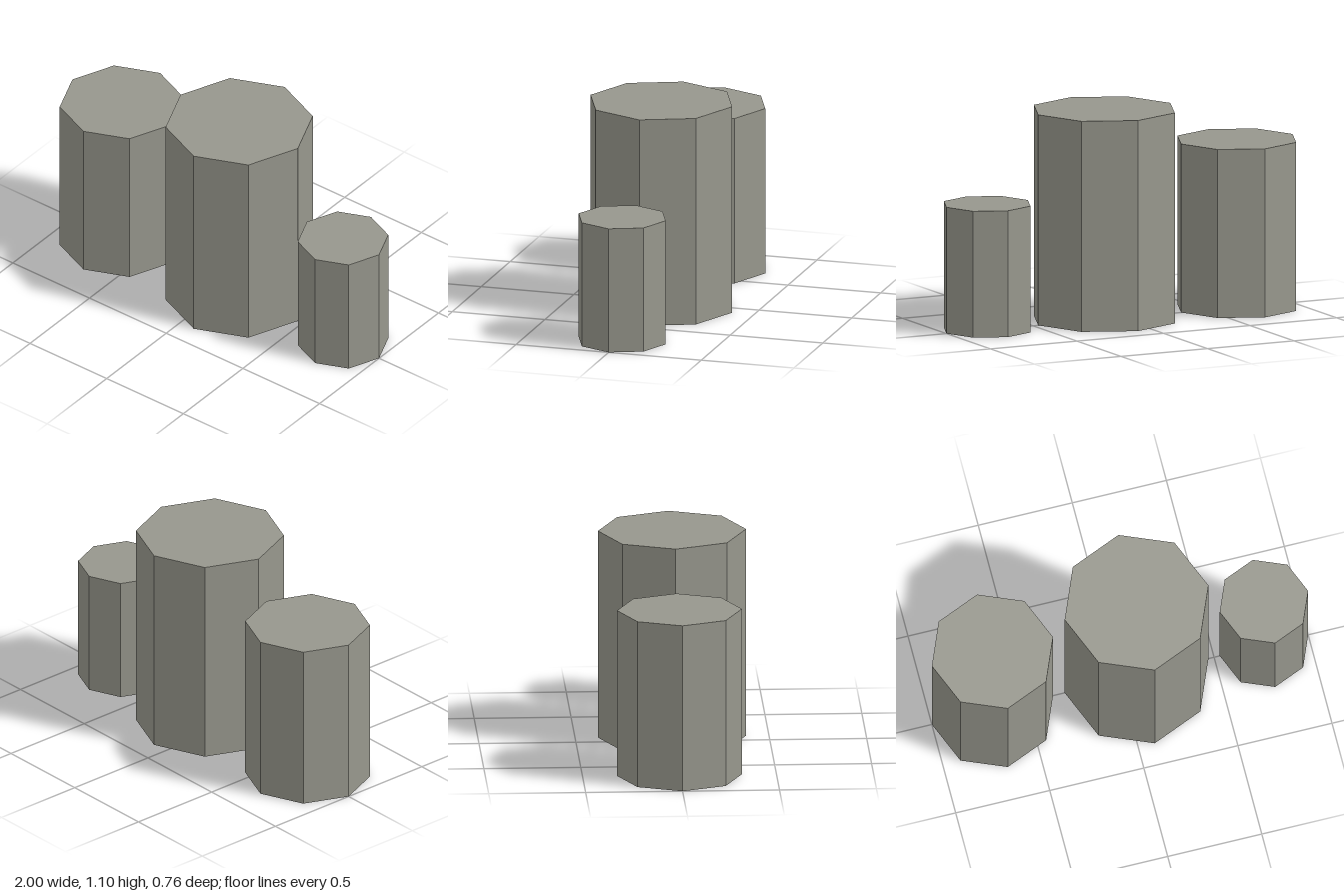
import * as THREE from 'three';

export function createModel() {
  const group = new THREE.Group();
  const material = new THREE.MeshStandardMaterial({ color: 0x97978d, flatShading: true });

  // Row of upright octagonal columns, corners on the x and z axes
  const columns = [
    { name: 'rightColumn', x: -0.678, radius: 0.322, height: 0.882 },
    { name: 'middleColumn', x: 0.088, radius: 0.382, height: 1.102 },
    { name: 'leftColumn', x: 0.765, radius: 0.235, height: 0.661 },
  ];

  for (const { name, x, radius, height } of columns) {
    const column = new THREE.Mesh(new THREE.CylinderGeometry(radius, radius, height, 8), material);
    column.name = name;
    column.position.set(x, height / 2, 0);
    group.add(column);
  }
  return group;
}
